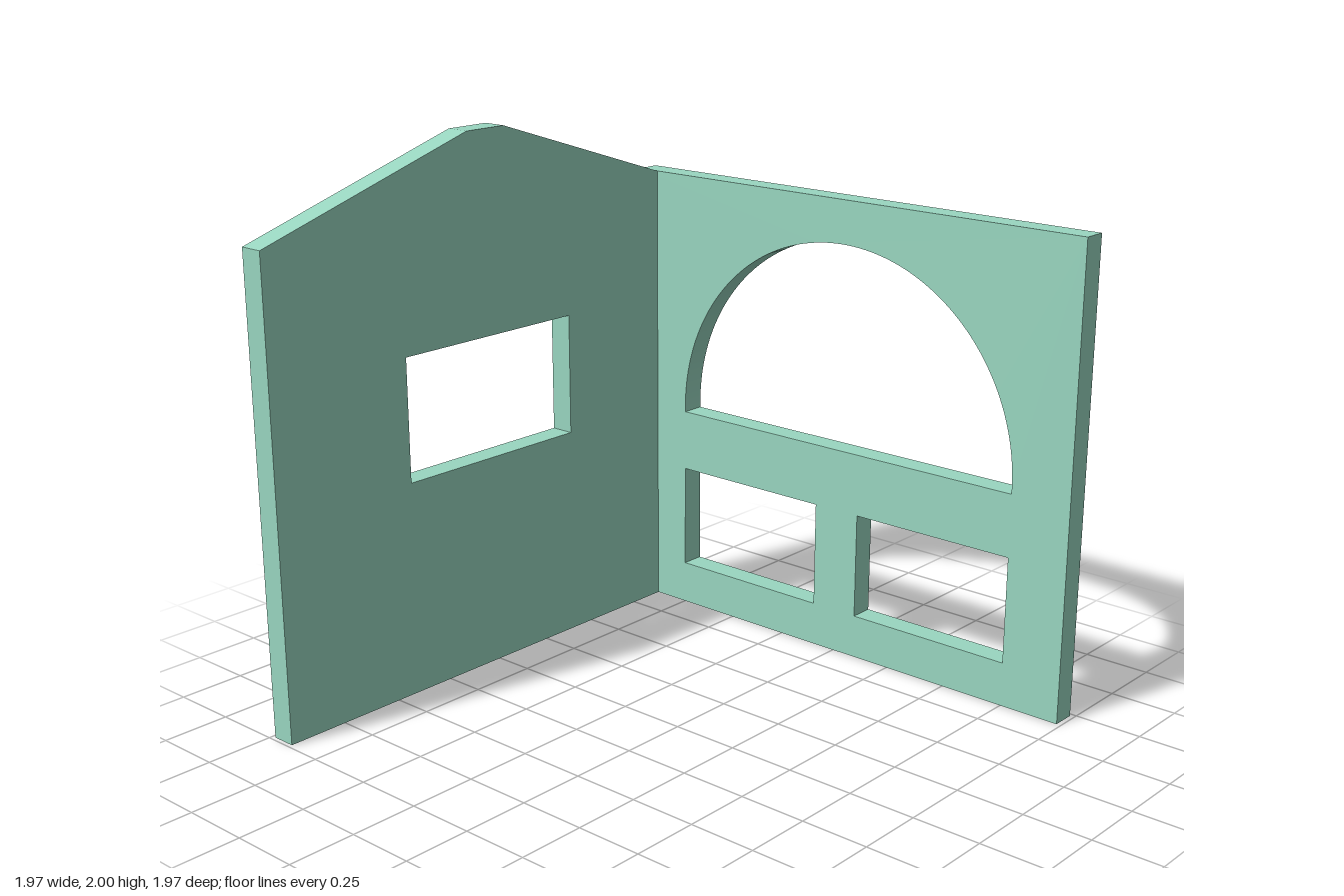
import * as THREE from 'three';

const THICK = 0.09;
const material = new THREE.MeshStandardMaterial({ color: 0x99d6c0 });

// Closed outline from corner points
function outline(points, Type = THREE.Shape) {
  return new Type(points.map(([x, y]) => new THREE.Vector2(x, y)));
}

function rectHole(x0, x1, y0, y1) {
  return outline([[x0, y0], [x0, y1], [x1, y1], [x1, y0]], THREE.Path);
}

// Flat wall panel with openings cut through it
function wall(name, points, holes) {
  const shape = outline(points);
  shape.holes.push(...holes);
  const geometry = new THREE.ExtrudeGeometry(shape, { depth: THICK, bevelEnabled: false, curveSegments: 48 });
  const mesh = new THREE.Mesh(geometry, material);
  mesh.name = name;
  return mesh;
}

export function createModel() {
  const group = new THREE.Group();
  group.name = 'cornerWalls';

  // Back wall: arched window above two rectangular ones
  const arch = new THREE.Path();
  arch.moveTo(-0.75, 0.8);
  arch.lineTo(0.75, 0.8);
  arch.lineTo(0.75, 0.823);
  arch.absarc(0, 0.823, 0.75, 0, Math.PI, false);
  arch.closePath();
  const backWall = wall(
    'backWall',
    [[-0.985, 0], [0.983, 0], [0.983, 1.735], [-0.985, 1.735]],
    [arch, rectHole(-0.75, -0.097, 0.165, 0.565), rectHole(0.095, 0.75, 0.165, 0.565)],
  );
  backWall.position.z = -0.985;
  group.add(backWall);

  // Gabled side wall with one window, drawn along z and butted against the back wall
  const gableWall = wall(
    'gableWall',
    [[-0.895, 0], [0.985, 0], [0.985, 1.725], [0.085, 2], [-0.09, 2], [-0.895, 1.735]],
    [rectHole(-0.4, 0.4, 0.8, 1.257)],
  );
  gableWall.rotation.y = -Math.PI / 2;
  gableWall.position.x = -0.895;
  group.add(gableWall);

  return group;
}
